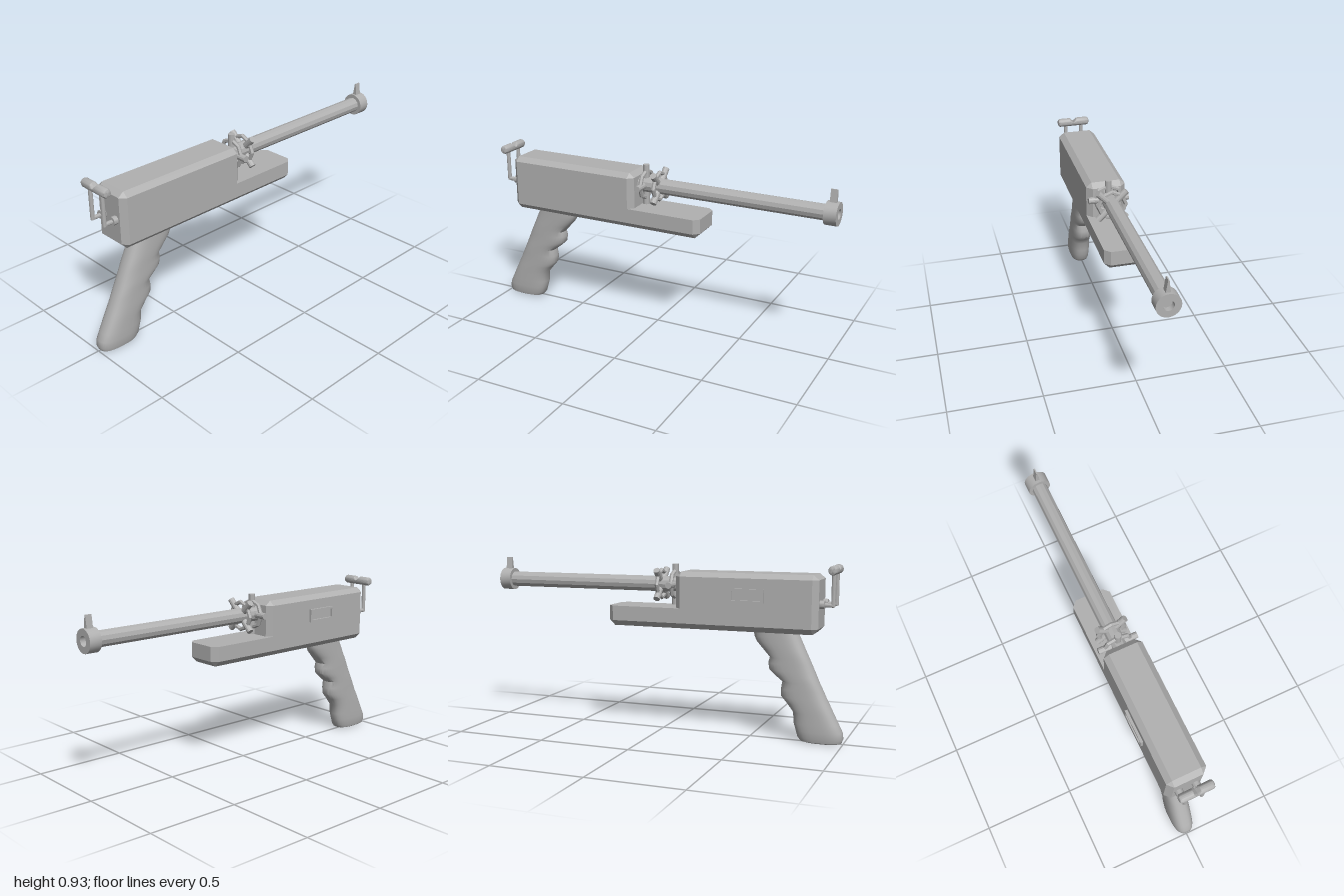
import * as THREE from 'three';
import { toCreasedNormals } from 'three/addons/utils/BufferGeometryUtils.js';
import { ConvexGeometry } from 'three/addons/geometries/ConvexGeometry.js';

const CX = 0.004;      // mirror plane of the body
const AXIS_Y = 0.805;  // height of the barrel axis
const HALF = 0.108;    // half width of the body
const C = 0.03;        // chamfer size

// Plan outline with cut corners
function cutRect(y, z0, z1) {
  const pts = [];
  for (const s of [-1, 1]) {
    for (const [z, dir] of [[z0, 1], [z1, -1]]) {
      pts.push(new THREE.Vector3(s * HALF, y, z + dir * C), new THREE.Vector3(s * (HALF - C), y, z));
    }
  }
  return pts;
}

// Inset rectangle closing a chamfered top or bottom
function insetRect(y, z0, z1) {
  const pts = [];
  for (const s of [-1, 1]) for (const z of [z0 + C, z1 - C]) pts.push(new THREE.Vector3(s * (HALF - C), y, z));
  return pts;
}

// Smooth grip skinned over horizontal sections [y, zBack, zFront, halfWidth]
function gripGeometry() {
  const rows = [
    [0, 0.80, 0.975, 0.042], [0.006, 0.775, 0.992, 0.052], [0.025, 0.76, 1.0, 0.057], [0.06, 0.75, 0.995, 0.059],
    [0.10, 0.738, 0.975, 0.059], [0.155, 0.735, 0.947, 0.059], [0.20, 0.70, 0.925, 0.059], [0.235, 0.669, 0.907, 0.059],
    [0.275, 0.667, 0.888, 0.059], [0.315, 0.674, 0.868, 0.059], [0.345, 0.635, 0.855, 0.059], [0.375, 0.602, 0.842, 0.059],
    [0.41, 0.596, 0.826, 0.059], [0.44, 0.604, 0.812, 0.059], [0.48, 0.568, 0.793, 0.059], [0.52, 0.532, 0.775, 0.059],
    [0.55, 0.518, 0.761, 0.059], [0.60, 0.512, 0.738, 0.059],
  ];
  const N = 32, pos = [], idx = [];
  const soft = v => Math.sign(v) * Math.pow(Math.abs(v), 0.75);
  for (const [y, zb, zf, w] of rows) {
    for (let i = 0; i < N; i++) {
      const a = i / N * Math.PI * 2;
      pos.push(w * soft(Math.sin(a)), y, (zb + zf) / 2 + (zf - zb) / 2 * soft(Math.cos(a)));
    }
  }
  for (let r = 0; r < rows.length - 1; r++) {
    for (let i = 0; i < N; i++) {
      const a = r * N + i, b = r * N + (i + 1) % N;
      idx.push(a, b, b + N, a, b + N, a + N);
    }
  }
  // bottom cap
  pos.push(0, 0, 0.888);
  for (let i = 0; i < N; i++) idx.push(rows.length * N, (i + 1) % N, i);
  const g = new THREE.BufferGeometry();
  g.setAttribute('position', new THREE.Float32BufferAttribute(pos, 3));
  g.setIndex(idx);
  return toCreasedNormals(g, 0.7);
}

// Round bar with bevelled ends and a V notch in its top
function notchedBarGeometry() {
  const r = 0.024, L = 0.094;
  const half = [[0, L], [0.012, L], [0.02, L - 0.004], [r, L - 0.013], [r, 0.019]];
  const profile = [...half.map(([x, y]) => [x, -y]), [r, 0], ...half.slice().reverse()];
  const g = new THREE.LatheGeometry(profile.map(p => new THREE.Vector2(...p)), 20);
  g.rotateZ(Math.PI / 2);
  const p = g.attributes.position;
  for (let i = 0; i < p.count; i++) if (Math.abs(p.getX(i)) < 0.001) p.setY(i, Math.min(p.getY(i), 0));
  return toCreasedNormals(g, 0.6);
}

export function createModel() {
  const metal = new THREE.MeshStandardMaterial({ color: 0xb0b0b0 });
  metal.name = 'grey metal';
  const model = new THREE.Group();
  model.name = 'pistol';

  function add(name, geometry, x = 0, y = 0, z = 0, parent = model) {
    const mesh = new THREE.Mesh(geometry, metal);
    mesh.name = name;
    mesh.position.set(x, y, z);
    parent.add(mesh);
    return mesh;
  }
  const rod = (r, len, sides = 16) => toCreasedNormals(new THREE.CylinderGeometry(r, r, len, sides), 0.5);
  const rodZ = (r, len, sides) => rod(r, len, sides).rotateX(Math.PI / 2);

  // Chamfered receiver and the shelf running under the barrel
  add('receiver', new ConvexGeometry([
    ...cutRect(0.685, 0.10, 0.87), ...cutRect(0.855, 0.10, 0.87), ...insetRect(0.88, 0.10, 0.87)]), CX);
  add('lowerShelf', new ConvexGeometry([
    ...insetRect(0.575, -0.29, 0.87), ...cutRect(0.605, -0.29, 0.87), ...cutRect(0.685, -0.29, 0.87)]), CX);
  add('grip', gripGeometry(), CX);

  // Raised rectangular frame on the right side
  const frame = new THREE.Shape();
  frame.moveTo(-0.092, -0.036).lineTo(0.092, -0.036).lineTo(0.092, 0.036).lineTo(-0.092, 0.036).closePath();
  const hole = new THREE.Path();
  hole.moveTo(-0.08, -0.025).lineTo(-0.08, 0.025).lineTo(0.08, 0.025).lineTo(0.08, -0.025).closePath();
  frame.holes.push(hole);
  const frameGeo = new THREE.ExtrudeGeometry(frame, { depth: 0.016, bevelEnabled: false }).rotateY(-Math.PI / 2);
  add('sideFrame', frameGeo, CX - HALF + 0.002, 0.766, 0.5);

  // Barrel and hollow muzzle collar
  add('barrel', rodZ(0.042, 1.10, 12), CX, AXIS_Y, -0.42);
  const collar = [[0.027, -0.05], [0.027, 0.03], [0.0615, 0.03], [0.0615, -0.035], [0.027, -0.035]];
  const collarGeo = new THREE.LatheGeometry(
    collar.slice(1).reverse().map(([r, y]) => new THREE.Vector2(r, y)), 24);
  collarGeo.rotateX(-Math.PI / 2);
  add('muzzleCollar', toCreasedNormals(collarGeo, 0.5), CX, AXIS_Y, -0.97);
  const bore = new THREE.CylinderGeometry(0.027, 0.027, 0.04, 24, 1, true).rotateX(Math.PI / 2);
  bore.setIndex(Array.from(bore.index.array).reverse());
  const n = bore.attributes.normal;
  for (let i = 0; i < n.count; i++) n.setXYZ(i, -n.getX(i), -n.getY(i), -n.getZ(i));
  add('bore', bore, CX, AXIS_Y, -0.98);

  // Tapered front sight
  const blade = new THREE.Shape();
  blade.moveTo(-0.013, 0).lineTo(0.013, 0).lineTo(0.003, 0.072).lineTo(-0.003, 0.072).closePath();
  add('frontSight', new THREE.ExtrudeGeometry(blade, { depth: 0.035, bevelEnabled: false }), CX, 0.858, -0.985);

  // Two spoked rings around the barrel, the second turned by 45 degrees
  [[0.067, 0], [-0.013, Math.PI / 4]].forEach(([z, turn], k) => {
    const wheel = new THREE.Group();
    wheel.name = k ? 'rearSpokedRing' : 'frontSpokedRing';
    wheel.position.set(CX, AXIS_Y, z);
    wheel.rotation.z = turn;
    model.add(wheel);
    const ring = new THREE.TorusGeometry(0.075, 0.012, 6, 8).toNonIndexed();
    ring.computeVertexNormals();
    add('ring', ring, 0, 0, 0, wheel);
    for (let i = 0; i < 4; i++) {
      const a = i * Math.PI / 2;
      const spoke = add('spoke', rod(0.018, 0.08, 12), 0.07 * Math.cos(a), 0.07 * Math.sin(a), 0, wheel);
      spoke.rotation.z = a - Math.PI / 2;
    }
  });

  // Rear sight: notched bar on two bent posts
  add('rearSightBar', notchedBarGeometry(), CX, 0.905, 0.937);
  for (const s of [-1, 1]) {
    const x = CX + s * 0.047;
    add('sightPost', rod(0.011, 0.18), x, 0.81, 0.937);
    add('sightElbow', new THREE.SphereGeometry(0.011, 16, 10), x, 0.727, 0.937);
    add('sightArm', rodZ(0.011, 0.07), x, 0.727, 0.902);
    add('sightWasher', rodZ(0.022, 0.028, 20), x, 0.729, 0.88);
  }
  return model;
}
